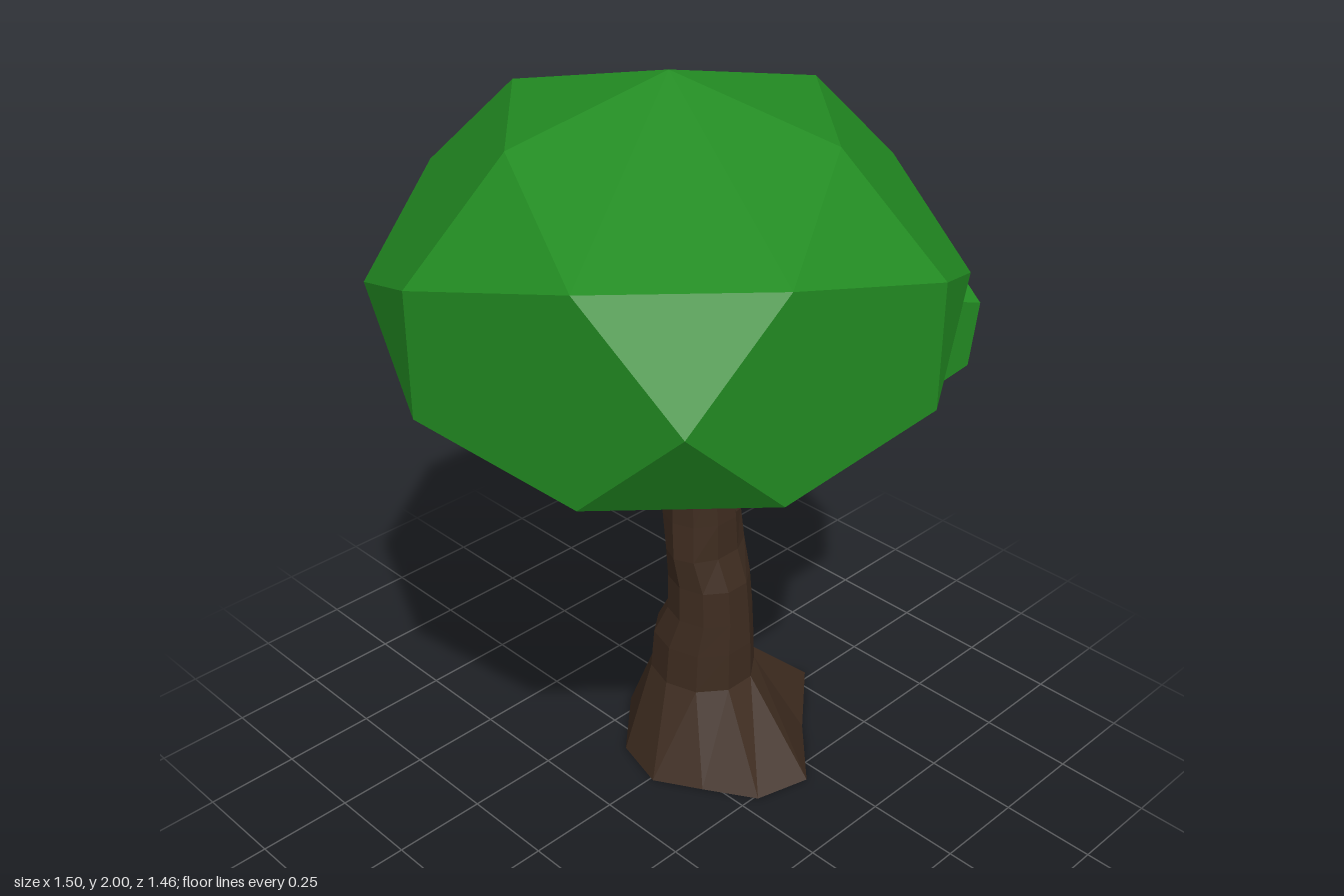
import * as THREE from 'three';
import { ConvexGeometry } from 'three/addons/geometries/ConvexGeometry.js';

const V = (x, y, z) => new THREE.Vector3(x, y, z);

// Skin a list of equal-length rings, with both ends closed
function loft(rings) {
  const n = rings[0].length;
  const pos = rings.flat().flatMap(p => p.toArray());
  const idx = [];
  for (let r = 0; r < rings.length - 1; r++) {
    for (let i = 0; i < n; i++) {
      const a = r * n + i, b = r * n + (i + 1) % n;
      idx.push(a, a + n, b, b, a + n, b + n);
    }
  }
  const addCap = (ring, start, top) => {
    const c = ring.reduce((s, p) => s.add(p), V(0, 0, 0)).divideScalar(n);
    const ci = pos.length / 3;
    pos.push(c.x, c.y, c.z);
    for (let i = 0; i < n; i++) {
      const a = start + i, b = start + (i + 1) % n;
      idx.push(ci, top ? b : a, top ? a : b);
    }
  };
  addCap(rings[0], 0, false);
  addCap(rings[rings.length - 1], (rings.length - 1) * n, true);
  const g = new THREE.BufferGeometry();
  g.setAttribute('position', new THREE.Float32BufferAttribute(pos, 3));
  g.setIndex(idx);
  const flat = g.toNonIndexed();
  flat.computeVertexNormals();
  return flat;
}

// Icosidodecahedron stretched along three free axes
function foliage(center, u, v, w) {
  const pts = [];
  const put = (a, b, c) => pts.push(center.clone()
    .addScaledVector(u, a).addScaledVector(v, b).addScaledVector(w, c));
  for (const s of [-1, 1]) {
    put(s, 0, 0); put(0, s, 0); put(0, 0, s);
    for (const t of [-1, 1]) for (const q of [-1, 1]) {
      const A = 0.809 * s, B = 0.5 * t, C = 0.309 * q;
      put(A, C, B); put(B, A, C); put(C, B, A);
    }
  }
  return new ConvexGeometry(pts);
}

// Four-sided limb that tapers along a bent path of [point, radius]
function limb(path) {
  const dir = path[path.length - 1][0].clone().sub(path[0][0]);
  const side = dir.cross(V(0, 1, 0)).normalize();
  return loft(path.map(([p, r], k) => {
    const prev = path[Math.max(k - 1, 0)][0], next = path[Math.min(k + 1, path.length - 1)][0];
    const up = side.clone().cross(next.clone().sub(prev).normalize());
    return [0, 1, 2, 3].map(i => {
      const a = (i + 0.5) * Math.PI / 2;
      return p.clone().addScaledVector(side, r * Math.cos(a)).addScaledVector(up, r * Math.sin(a));
    });
  }));
}

export function createModel() {
  const group = new THREE.Group();
  const bark = new THREE.MeshStandardMaterial({ color: 0x3d2b1f, flatShading: true });
  const leaf = new THREE.MeshStandardMaterial({ color: 0x228b22, flatShading: true });
  const add = (name, geometry, material) => {
    const m = new THREE.Mesh(geometry, material);
    m.name = name;
    group.add(m);
  };

  // Trunk: flared root outline, then narrowing rings
  const roots = [[0.55, -0.02], [0.36, 0.14], [0.2, 0.3], [0.05, 0.26], [-0.03, 0.13],
    [-0.1, 0.01], [-0.06, -0.14], [0.1, -0.29], [0.28, -0.28], [0.38, -0.14]];
  const levels = [ // y, min x, max x, min z, max z
    [0.24, 0.01, 0.29, -0.19, 0.09], [0.35, 0.02, 0.285, -0.185, 0.085],
    [0.44, 0.04, 0.27, -0.14, 0.08], [0.54, 0.045, 0.265, -0.14, 0.07],
    [0.63, 0.035, 0.27, -0.13, 0.035], [0.73, 0.045, 0.26, -0.155, 0.03],
    [0.87, 0.05, 0.255, -0.15, 0.015], [1.2, 0.06, 0.235, -0.135, 0.015]];
  const rings = levels.map(([y, x0, x1, z0, z1]) => roots.map((_, i) => {
    const a = i * Math.PI * 2 / roots.length;
    return V((x0 + x1) / 2 + (x1 - x0) / 2 * Math.cos(a), y,
      (z0 + z1) / 2 + (z1 - z0) / 2 * Math.sin(a) / 0.951);
  }));
  add('trunk', loft([roots.map(([x, z]) => V(x, 0, z)), ...rings]), bark);

  // Branches
  add('leftBranch', limb([[V(0.18, 0.77, -0.02), 0.055], [V(0.575, 1.01, 0.17), 0.03],
    [V(0.59, 1.13, 0.2), 0.012]]), bark);
  add('rightBranch', limb([[V(0.12, 0.87, -0.1), 0.055], [V(-0.2, 1.0, -0.21), 0.032],
    [V(-0.245, 1.09, -0.245), 0.012]]), bark);
  add('frontBranch', limb([[V(0.12, 0.96, -0.01), 0.055], [V(-0.02, 1.08, 0.09), 0.035],
    [V(-0.05, 1.16, 0.11), 0.015]]), bark);

  // Foliage clumps
  add('mainFoliage', foliage(V(-0.105, 1.52, 0.08), V(0.505, 0, 0.46), V(0, 0.48, 0),
    V(0.495, 0, -0.55)), leaf);
  add('leftFoliage', foliage(V(0.46, 1.305, 0.11), V(0.2, 0, 0.26), V(0.03, 0.26, 0.01),
    V(0.215, 0, -0.33)), leaf);
  add('backFoliage', foliage(V(0.2, 1.273, -0.43), V(0.26, 0, 0.2), V(0, 0.272, -0.04),
    V(0.26, 0, -0.25)), leaf);

  return group;
}
